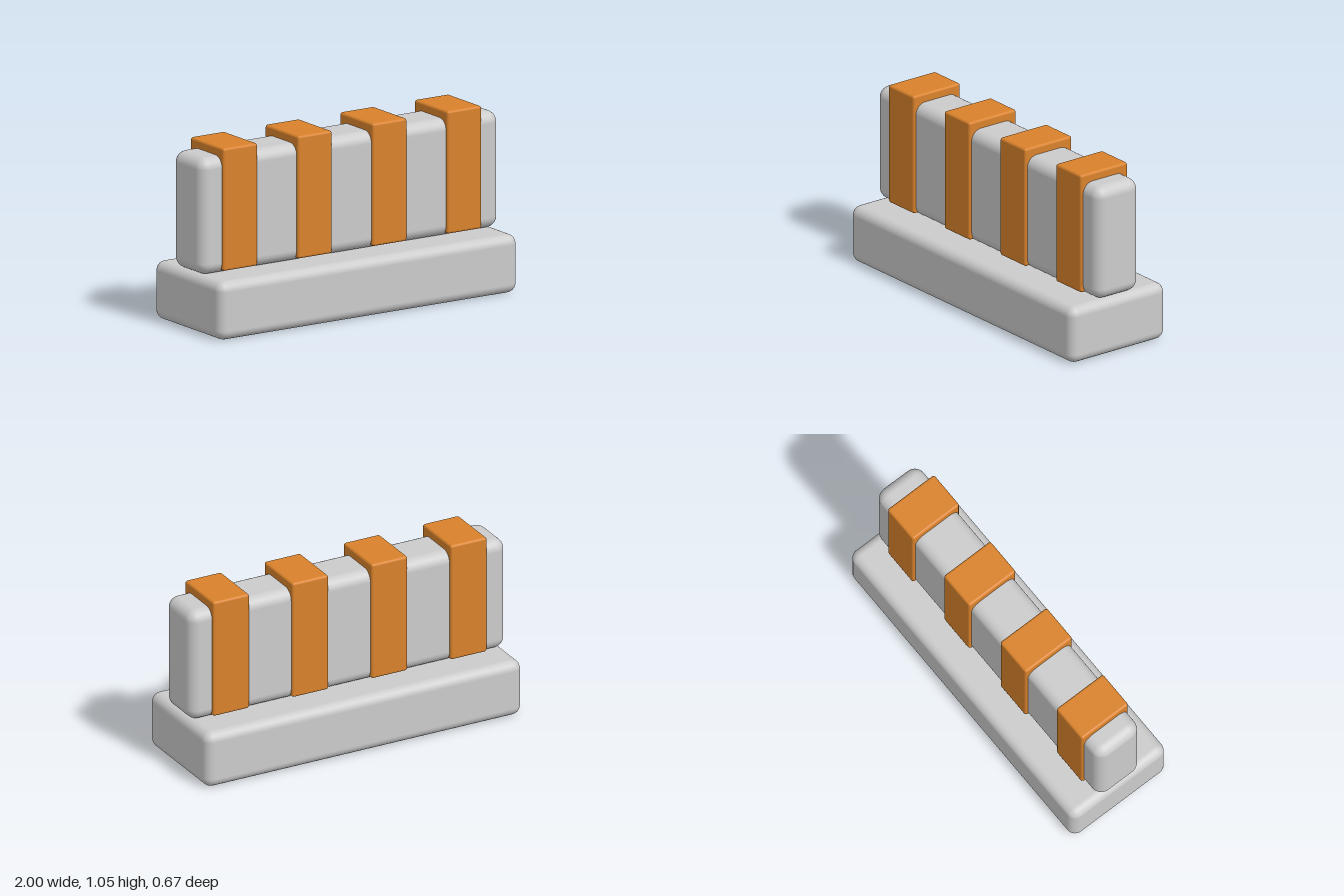
import * as THREE from 'three';
import { RoundedBoxGeometry } from 'three/addons/geometries/RoundedBoxGeometry.js';

const grey = new THREE.MeshStandardMaterial({ color: 0xcccccc });
const orange = new THREE.MeshStandardMaterial({ color: 0xd9822b });

// Rounded block standing on height y
function block(name, width, height, depth, radius, material, x, y) {
  const mesh = new THREE.Mesh(new RoundedBoxGeometry(width, height, depth, 4, radius), material);
  mesh.name = name;
  mesh.position.set(x, y + height / 2, 0);
  return mesh;
}

export function createModel() {
  const model = new THREE.Group();
  model.name = 'barrier';

  // Wide foot and the narrower wall on it
  model.add(block('base', 2, 0.333, 0.667, 0.055, grey, 0, 0));
  model.add(block('wall', 2, 0.667, 0.3, 0.065, grey, 0, 0.333));

  // Four evenly spaced bands wrapped around the wall
  for (let i = 0; i < 4; i++) {
    model.add(block('stripe' + (i + 1), 0.23, 0.7, 0.33, 0.015, orange, -0.75 + i * 0.5, 0.35));
  }
  return model;
}
